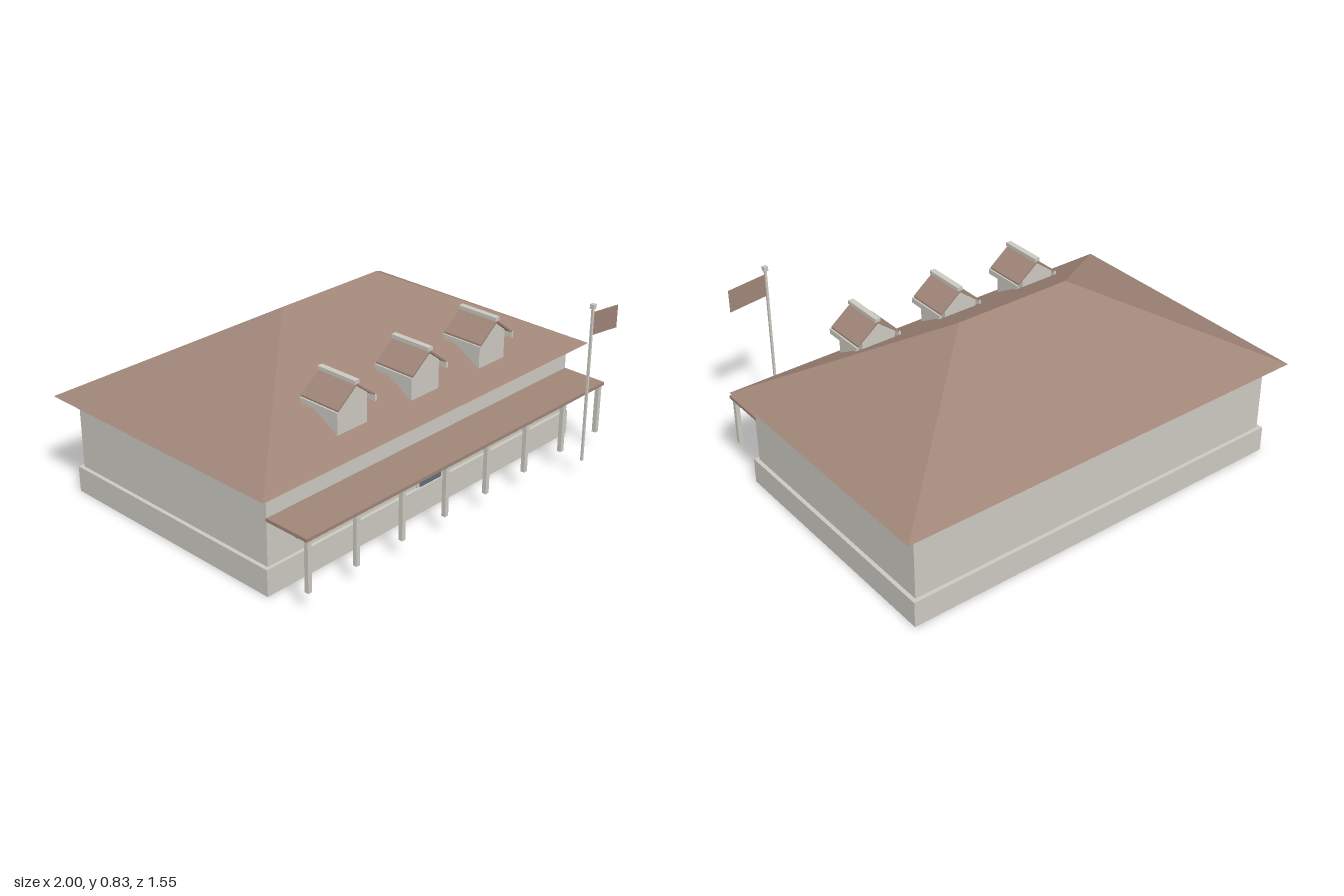
import * as THREE from 'three';

const mat = (name, color, side = THREE.FrontSide) => {
  const m = new THREE.MeshStandardMaterial({ color, side });
  m.name = name;
  return m;
};

export function createModel() {
  const model = new THREE.Group();
  model.name = 'longHouse';
  const stone = mat('paleStone', 0xcbc8bf);
  const stoneOpen = mat('paleStoneDoubleSided', 0xcbc8bf, THREE.DoubleSide);
  const tile = mat('brownTile', 0x9f8578);
  const cloth = mat('brownCloth', 0x9f8578, THREE.DoubleSide);
  const glass = mat('slateGlass', 0x626d76);

  const add = (name, geometry, material, parent = model) => {
    const mesh = new THREE.Mesh(geometry, material);
    mesh.name = name;
    parent.add(mesh);
    return mesh;
  };
  // Box given by its minimum and maximum on each axis
  const box = (name, [x0, x1], [y0, y1], [z0, z1], material, parent) => {
    const g = new THREE.BoxGeometry(x1 - x0, y1 - y0, z1 - z0);
    g.translate((x0 + x1) / 2, (y0 + y1) / 2, (z0 + z1) / 2);
    return add(name, g, material, parent);
  };
  // Cross-section in x and y, extruded from z0 to z1
  const prism = (name, points, z0, z1, material, parent) => {
    const shape = new THREE.Shape(points.map(p => new THREE.Vector2(...p)));
    const g = new THREE.ExtrudeGeometry(shape, { depth: z1 - z0, bevelEnabled: false });
    g.translate(0, 0, z0);
    return add(name, g, material, parent);
  };

  // Plinth, open underneath (the bottom face is left out)
  const plinth = box('plinth', [-0.945, 0.945], [0, 0.12], [-0.72, 0.46], stoneOpen);
  const index = Array.from(plinth.geometry.index.array);
  plinth.geometry.setIndex(index.filter((_, i) => i < 18 || i >= 24));
  plinth.geometry.clearGroups();
  box('walls', [-0.927, 0.927], [0.12, 0.456], [-0.702, 0.444], stone);

  // Hipped roof: four eave corners and two ridge ends
  const eave = [[-1, 0.455, 0.51], [1, 0.455, 0.51], [1, 0.455, -0.775], [-1, 0.455, -0.775]];
  const [a, b, c, d] = eave, l = [-0.28, 0.83, -0.132], r = [0.28, 0.83, -0.132];
  const faces = [a, b, r, a, r, l, b, c, r, c, d, l, c, l, r, d, a, l, a, d, c, a, c, b];
  const roof = new THREE.BufferGeometry();
  roof.setAttribute('position', new THREE.Float32BufferAttribute(faces.flat(), 3));
  roof.computeVertexNormals();
  add('hippedRoof', roof, tile);

  // Porch
  box('porchRoof', [-0.927, 0.927], [0.32, 0.335], [0.44, 0.66], tile);
  for (let i = 0; i < 8; i++) {
    const x = -0.907 + i * 0.2591;
    box('porchPost', [x - 0.01, x + 0.01], [0.09, 0.32], [0.635, 0.655], stone);
  }

  // Windows and door
  for (let i = -3; i <= 3; i++) {
    const x = i * 0.246;
    box('window', [x - 0.04, x + 0.04], [0.185, 0.32], [0.444, 0.452], glass);
  }
  for (const s of [-1, 1]) {
    box('doorJamb', [s * 0.073 - 0.008, s * 0.073 + 0.008], [0.12, 0.29], [0.444, 0.45], stone);
  }
  box('doorLintel', [-0.066, 0.066], [0.275, 0.29], [0.444, 0.45], stone);
  box('door', [-0.065, 0.065], [0.122, 0.275], [0.447, 0.455], glass);

  // Dormers
  for (const x of [-0.428, 0, 0.428]) {
    const dormer = new THREE.Group();
    dormer.name = 'dormer';
    dormer.position.x = x;
    model.add(dormer);
    const body = [[-0.083, 0.515], [0.083, 0.515], [0.083, 0.648], [0, 0.71], [-0.083, 0.648]];
    prism('dormerBody', body, 0.232, 0.411, stone, dormer);
    for (const s of [-1, 1]) {
      const slope = [[0, 0.711], [s * 0.104, 0.63], [s * 0.104, 0.64], [0, 0.721]];
      prism('dormerRoofSlope', slope, 0.232, 0.434, tile, dormer);
      const edge = s * 0.106;
      box('dormerEaveTrim', [edge - 0.006, edge + 0.006], [0.608, 0.632], [0.232, 0.436], stone, dormer);
    }
    box('dormerRidgeCap', [-0.013, 0.013], [0.718, 0.735], [0.232, 0.436], stone, dormer);
  }

  // Flagpole and flag
  box('flagpole', [0.638, 0.648], [0.09, 0.81], [0.76, 0.77], stone);
  box('flagpoleCap', [0.633, 0.653], [0.805, 0.826], [0.755, 0.775], stone);
  const flag = new THREE.Shape([[0.648, 0.788], [0.648, 0.682], [0.828, 0.663], [0.828, 0.769]]
    .map(p => new THREE.Vector2(...p)));
  add('flag', new THREE.ShapeGeometry(flag), cloth).position.z = 0.765;

  return model;
}
